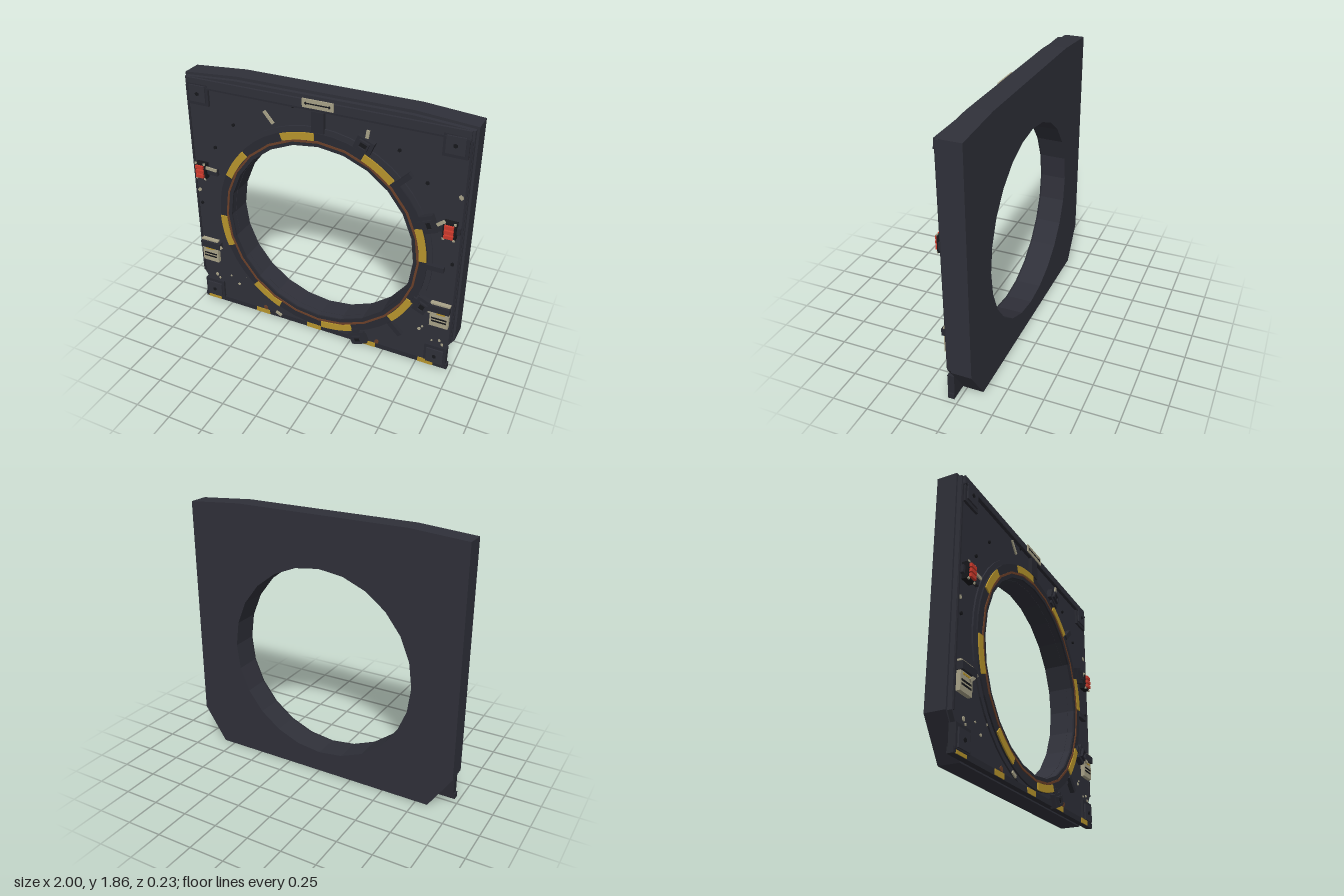
import * as THREE from 'three';

const mat = (name, color) => {
  const m = new THREE.MeshStandardMaterial({ color });
  m.name = name;
  return m;
};

export function createModel() {
  const hull = mat('dark hull grey', 0x2f3039);
  const trim = mat('trim grey', 0x292a32);
  const black = mat('near black', 0x17181c);
  const yellow = mat('hazard yellow', 0xb8952c);
  const cream = mat('worn cream', 0xa8a288);
  const red = mat('signal red', 0xcc3a2c);
  const rust = mat('rust brown', 0x6b4029);

  const CY = 0.83; // height of the opening's centre
  const root = new THREE.Group();
  root.name = 'portalFrame';

  const add = (name, geo, material, parent = root) => {
    const m = new THREE.Mesh(geo, material);
    m.name = name;
    parent.add(m);
    return m;
  };
  // box given by centre, size and its back and front z
  const box = (name, x, y, w, h, z0, z1, material, parent = root, rot = 0) => {
    const m = add(name, new THREE.BoxGeometry(w, h, z1 - z0), material, parent);
    m.position.set(x, y, (z0 + z1) / 2);
    m.rotation.z = rot;
    return m;
  };
  const circle = (r, n, y = CY) => Array.from({ length: n }, (_, i) => {
    const a = (i / n) * Math.PI * 2;
    return new THREE.Vector2(r * Math.cos(a), y + r * Math.sin(a));
  });
  const slab = (name, outer, hole, z0, z1, material) => {
    const s = new THREE.Shape(outer);
    if (hole) s.holes.push(new THREE.Path(hole));
    const g = new THREE.ExtrudeGeometry(s, { depth: z1 - z0, bevelEnabled: false });
    g.translate(0, 0, z0);
    return add(name, g, material);
  };
  const mirrored = (half) => [
    ...half.map(([x, y]) => new THREE.Vector2(x, y)),
    ...half.slice().reverse().map(([x, y]) => new THREE.Vector2(-x, y)),
  ];

  // Main slab and front panel
  slab('mainSlab', mirrored([[0.835, 0], [1, 0.25], [1, 1.83], [0.61, 1.86]]),
    circle(0.68, 24), -0.115, 0.025, hull);
  slab('frontPanel', mirrored([[0.84, 0.02], [0.985, 0.25], [0.985, 1.815], [0.61, 1.84]]),
    circle(0.682, 24), 0.025, 0.055, hull);

  // Ring collar in steps, with a rust line inside
  slab('outerCollar', circle(0.81, 48), circle(0.682, 24), 0.055, 0.066, hull);
  slab('innerCollar', circle(0.775, 48), circle(0.682, 24), 0.066, 0.077, trim);
  slab('rustRing', circle(0.723, 24), circle(0.708, 24), 0.077, 0.082, rust);

  // Hazard arcs around the ring
  for (let k = 0; k < 8; k++) {
    const a0 = THREE.MathUtils.degToRad(2 + 45 * k), a1 = a0 + THREE.MathUtils.degToRad(18.5);
    const s = new THREE.Shape();
    s.absarc(0, CY, 0.772, a0, a1, false);
    s.absarc(0, CY, 0.722, a1, a0, true);
    const g = new THREE.ExtrudeGeometry(s, { depth: 0.009, bevelEnabled: false, curveSegments: 6 });
    g.translate(0, 0, 0.077);
    add('hazardArc', g, yellow);
  }

  // Radial parts: x points outward from the ring
  const radial = (name, deg) => {
    const g = new THREE.Group();
    g.name = name;
    g.position.y = CY;
    g.rotation.z = THREE.MathUtils.degToRad(deg);
    root.add(g);
    return g;
  };
  for (const d of [-45, 0, 45]) {
    box('strut', 0.83, 0, 0.12, 0.036, 0.055, 0.088, trim, radial('radialStrut', d));
  }
  for (const d of [-67.5, -22.5, 22.5, 67.5]) {
    const g = radial('clamp', d);
    box('clampBase', 0.83, 0, 0.09, 0.12, 0.055, 0.095, trim, g);
    for (const s of [-1, 1]) {
      box('clampSide', 0.835, s * 0.03, 0.06, 0.012, 0.095, 0.112, trim, g);
      box('clampEnd', 0.835 + s * 0.024, 0, 0.012, 0.06, 0.095, 0.112, trim, g);
    }
    box('clampCore', 0.835, 0, 0.036, 0.048, 0.095, 0.1, black, g);
    box('clampFoot', 0.775, 0, 0.04, 0.05, 0.07, 0.09, trim, g);
  }
  box('topStrut', 0, 1.68, 0.086, 0.14, 0.055, 0.082, trim);

  // Top beam with its sign plate
  box('topBeam', 0, 1.787, 1.94, 0.058, 0.055, 0.072, hull);
  box('topBeamLip', 0, 1.758, 1.94, 0.012, 0.055, 0.078, trim);
  box('signPlate', 0, 1.797, 0.214, 0.058, 0.072, 0.081, cream);
  box('signLine', 0, 1.797, 0.17, 0.008, 0.081, 0.083, black);
  for (const s of [-1, 1]) box('signMark', s * 0.08, 1.797, 0.016, 0.016, 0.081, 0.083, black, root, Math.PI / 4);

  // Bottom sill with hazard blocks
  box('bottomSill', 0, 0.029, 1.95, 0.038, 0.025, 0.068, trim);
  for (const [x, w, h] of [[-0.895, 0.11, 0.02], [-0.467, 0.113, 0.036], [-0.042, 0.113, 0.036],
    [0.392, 0.106, 0.036], [0.82, 0.11, 0.036]]) {
    box('sillStripe', x, 0.012 + h / 2, w, h, 0.068, 0.073, yellow);
  }

  const bolt = (x, y, r, z0, z1, material) => {
    const g = new THREE.CylinderGeometry(r, r, z1 - z0, 6).rotateX(Math.PI / 2);
    add('bolt', g, material).position.set(x, y, (z0 + z1) / 2);
  };

  // Parts found on both sides
  for (const s of [-1, 1]) {
    box('sideRail', s * 0.975, 1.0, 0.014, 1.5, 0.055, 0.062, trim);
    for (const [y, dir] of [[1.705, 1], [0.112, -1]]) {
      box('cornerBlock', s * 0.885, y, 0.158, 0.148, 0.025, 0.072, trim);
      box('cornerPad', s * 0.885, y + dir * 0.008, 0.12, 0.115, 0.072, 0.082, hull);
      bolt(s * 0.885, y + dir * 0.008, 0.014, 0.082, 0.088, black);
    }
    // Warning lamp
    const lx = s * 0.903, ly = 1.14;
    box('lampBracket', lx - s * 0.03, ly, 0.19, 0.05, 0.055, 0.08, trim);
    box('lampHousing', lx, ly, 0.085, 0.115, 0.055, 0.1, black);
    for (const d of [-1, 0, 1]) box('lampBar', lx, ly + d * 0.034, 0.06, 0.024, 0.1, 0.117, red);
    for (const i of [-1, 1]) for (const j of [-1, 1]) {
      box('lampCorner', lx + i * 0.034, ly + j * 0.057, 0.016, 0.014, 0.095, 0.104, cream);
    }
    // Notice panel
    const px = s * 0.892;
    box('noticeTop', px, 0.552, 0.135, 0.012, 0.055, 0.085, cream);
    box('noticeHood', px - s * 0.012, 0.518, 0.16, 0.05, 0.055, 0.098, trim);
    box('noticePlate', px, 0.43, 0.13, 0.122, 0.055, 0.084, cream);
    box('noticeStripe', px, 0.477, 0.08, 0.012, 0.084, 0.086, yellow);
    for (const y of [0.436, 0.412]) box('noticeLine', px, y, 0.105, 0.012, 0.084, 0.086, black);
  }

  // Small bolts over the panel
  for (const [x, y] of [[-0.63, 1.53], [-0.18, 1.75], [0.54, 1.6], [-0.79, 1.33], [0.73, 1.42],
    [-0.94, 0.855], [0.935, 0.88]]) bolt(x, y, 0.012, 0.055, 0.066, black);

  // Loose cream strips: x, y, length, angle in degrees
  for (const [x, y, l, a] of [[-0.342, 1.655, 0.1, -50], [0.342, 1.677, 0.055, 82], [-0.82, 1.168, 0.09, -4],
    [0.845, 1.182, 0.06, 40], [-0.825, 0.49, 0.1, 40], [0.845, 0.485, 0.06, -5],
    [-0.322, 0.065, 0.05, -25], [0.315, 0.068, 0.06, 25]]) {
    box('creamStrip', x, y, l, 0.022, 0.086, 0.095, cream, root, THREE.MathUtils.degToRad(a));
  }

  // Paint chips and rust spots: x, y, radius
  const chip = (name, x, y, r, z, material) => {
    const g = new THREE.CylinderGeometry(r, r, 0.006, 6).rotateX(Math.PI / 2);
    const m = add(name, g, material);
    m.position.set(x, y, z);
    m.scale.y = 0.8;
    m.rotation.z = x * 9;
  };
  for (const [x, y, r] of [[-0.953, 0.958, 0.018], [0.946, 1.37, 0.018], [-0.636, 0.352, 0.013],
    [-0.867, 0.235, 0.016], [-0.845, 0.21, 0.01], [-0.6, 0.29, 0.01], [-0.674, 0.203, 0.012],
    [-0.74, 0.26, 0.008], [0.62, 0.22, 0.01], [0.754, 0.288, 0.014], [0.775, 0.315, 0.009],
    [0.904, 0.235, 0.012], [0.925, 0.205, 0.012], [0.85, 0.22, 0.008]]) chip('paintChip', x, y, r, 0.058, cream);
  for (const [x, y] of [[-0.444, 0.067], [0.455, 0.067]]) chip('rustSpot', x, y, 0.02, 0.07, rust);

  return root;
}
